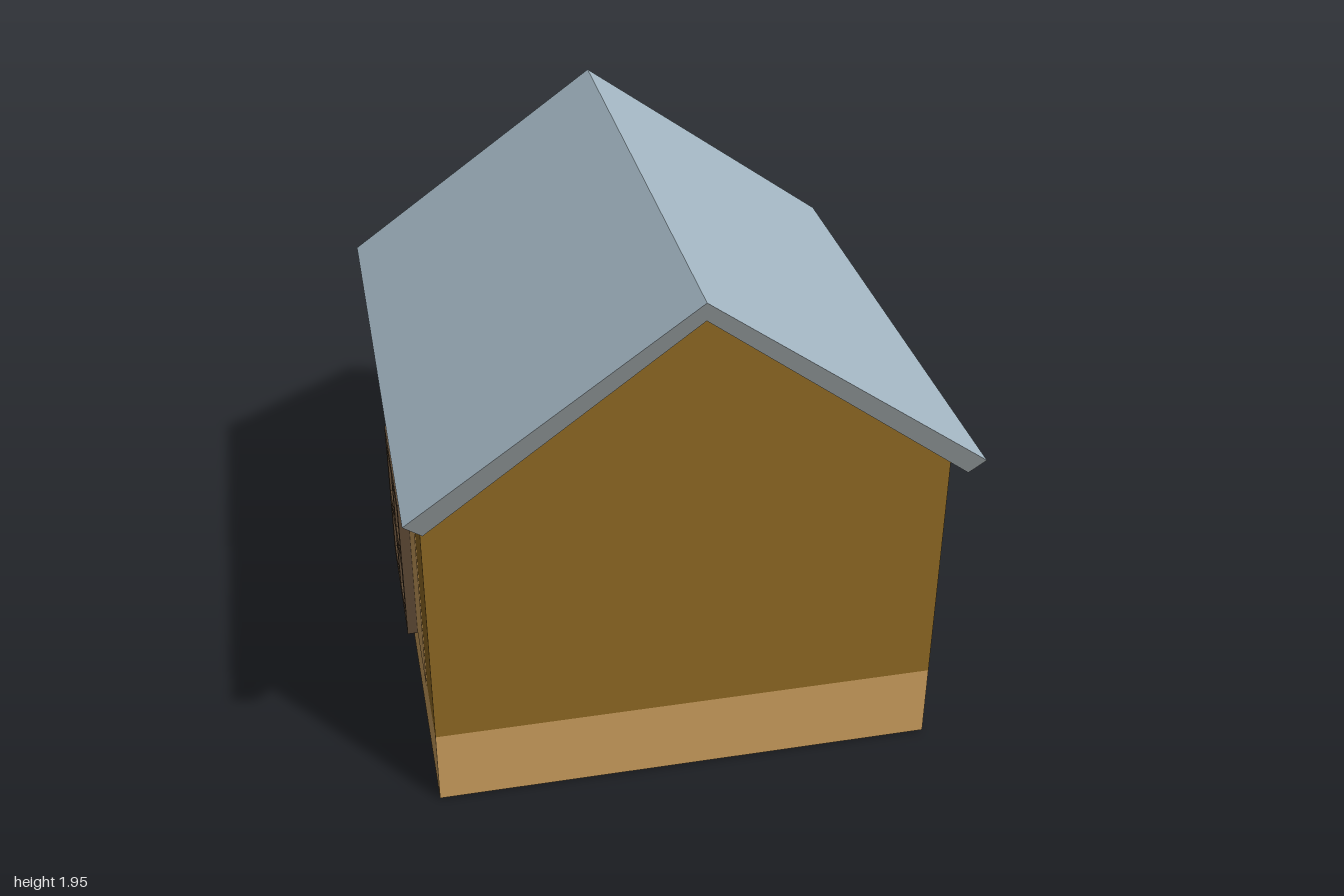
import * as THREE from 'three';

function material(name, color) {
  const m = new THREE.MeshStandardMaterial({ color });
  m.name = name;
  return m;
}

export function createModel() {
  const house = new THREE.Group();
  house.name = 'house';

  const ochre = material('ochre wall', 0x8f6923);
  const tan = material('tan plaster', 0xcb9e5d);
  const slate = material('blue grey', 0xa5b8c4);
  const grey = material('grey trim', 0x83898b);
  const brown = material('dark brown wood', 0x5c4833);

  const W = 0.89, D = 0.85, BASE = 0.285, EAVE = 1.235, PEAK = 1.89, FLOOR = 0.004;

  function add(parent, name, geometry, mat) {
    const mesh = new THREE.Mesh(geometry, mat);
    mesh.name = name;
    parent.add(mesh);
    return mesh;
  }

  // box given by its minimum and maximum corners
  function box(parent, name, mat, [x0, y0, z0], [x1, y1, z1]) {
    const mesh = add(parent, name, new THREE.BoxGeometry(x1 - x0, y1 - y0, z1 - z0), mat);
    mesh.position.set((x0 + x1) / 2, (y0 + y1) / 2, (z0 + z1) / 2);
    return mesh;
  }

  // outline in x and y, extruded evenly along z
  function prism(points, half) {
    const shape = new THREE.Shape(points.map(([x, y]) => new THREE.Vector2(x, y)));
    const g = new THREE.ExtrudeGeometry(shape, { depth: 2 * half, bevelEnabled: false });
    return g.translate(0, 0, -half);
  }

  // walls
  box(house, 'wallBase', tan, [-W, FLOOR, -D], [W, BASE, D]);
  add(house, 'floorUnderside', new THREE.PlaneGeometry(2 * W, 2 * D).rotateX(Math.PI / 2), ochre)
    .position.y = FLOOR - 0.002;
  add(house, 'upperWalls',
    prism([[-W, BASE], [W, BASE], [W, EAVE], [0, PEAK], [-W, EAVE]], D), ochre);
  box(house, 'plasterPanel', tan, [-W - 0.003, BASE, -0.57], [-W + 0.003, EAVE, 0.57]);

  // roof: upward faces are slate, gable edges and undersides are grey
  const roof = prism([[0, 1.95], [-0.95, 1.272], [-W, EAVE - 0.003], [0, PEAK],
    [W, EAVE - 0.003], [0.95, 1.272]], 1);
  roof.clearGroups();
  const normals = roof.attributes.normal;
  for (let i = 0; i < normals.count; i += 3) {
    roof.addGroup(i, 3, normals.getY(i) > 0.1 ? 0 : 1);
  }
  add(house, 'roof', roof, [slate, grey]);

  // door in the back wall
  const door = new THREE.Group();
  door.name = 'door';
  house.add(door);
  const dl = -0.137, dr = 0.265, dt = 0.722, db = 0.028, dz = -0.875;
  for (const [x0, x1] of [[dl, dl + db], [dr - db, dr]]) {
    box(door, 'doorJamb', brown, [x0, 0, dz], [x1, dt, -0.80]);
  }
  box(door, 'doorLintel', brown, [dl + db, dt - db, dz], [dr - db, dt, -0.80]);
  box(door, 'doorThreshold', brown, [dl + db, 0, dz], [dr - db, db, -0.80]);
  box(door, 'doorPanel', brown, [dl + db, db, -0.86], [dr - db, dt - db, -0.81]);

  // four-pane window on the plastered side
  const win = new THREE.Group();
  win.name = 'window';
  house.add(win);
  const zc = -0.01, yc = 0.575, hw = 0.275, hh = 0.287, bar = 0.055, front = -0.93;
  for (const side of [-1, 0, 1]) {
    const z = zc + side * (hw - bar / 2), y = yc + side * (hh - bar / 2);
    box(win, 'windowUpright', brown, [front, yc - hh, z - bar / 2], [-0.88, yc + hh, z + bar / 2]);
    for (const s of [-1, 1]) {
      const za = zc + s * bar / 2, zb = zc + s * (hw - bar);
      box(win, 'windowRail', brown, [front, y - bar / 2, Math.min(za, zb)],
        [-0.88, y + bar / 2, Math.max(za, zb)]);
    }
  }
  box(win, 'windowGlass', slate, [-0.903, yc - hh + bar / 2, zc - hw + bar / 2],
    [-0.895, yc + hh - bar / 2, zc + hw - bar / 2]);

  return house;
}
